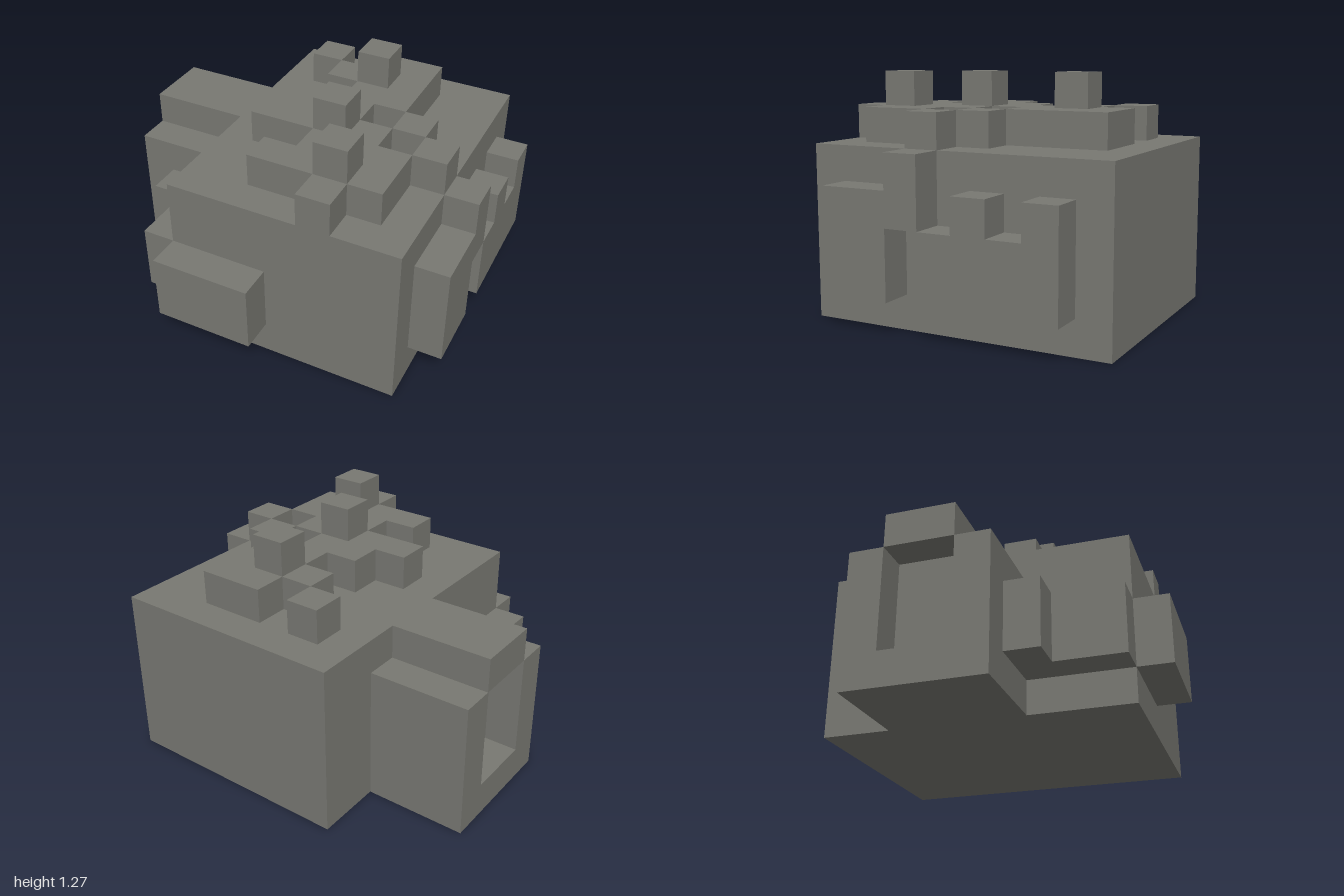
import * as THREE from 'three';

// Everything sits on a grid of cubes: 11 wide (x), 10 deep (z), 7 high (y)
const U = 2 / 11;

export function createModel() {
  const model = new THREE.Group();
  model.name = 'blockBoulder';
  const stone = new THREE.MeshStandardMaterial({ color: 0x787872 });
  stone.name = 'stone grey';

  // Box from grid corner (x, y, z) with a size in cells
  function block(name, x, y, z, w, h, d) {
    const mesh = new THREE.Mesh(new THREE.BoxGeometry(w * U, h * U, d * U), stone);
    mesh.position.set((x + w / 2 - 5.5) * U, (y + h / 2) * U, (z + d / 2 - 5) * U);
    mesh.name = name;
    model.add(mesh);
  }

  // Main mass
  block('body', 3, 0, 0, 7, 5, 9);
  block('frontSlab', 3, 1, 9, 3, 2, 1);

  // Side outcrop with a niche in its outer face
  block('outcropRearPillar', 0, 0, 2, 3, 4, 1);
  block('outcropFrontPillar', 0, 0, 5, 3, 4, 1);
  block('outcropSill', 0, 0, 3, 3, 1, 2);
  block('outcropCore', 1, 1, 3, 2, 3, 2);
  block('outcropCap', 0, 4, 3, 3, 1, 2);
  block('outcropStepWide', 1, 1, 6, 2, 2, 1);
  block('outcropStepNarrow', 2, 1, 7, 1, 2, 2);

  // Bumps on the opposite side
  block('sideSlabFront', 10, 1, 6, 1, 3, 2);
  block('sideSlabUpper', 10, 3, 5, 1, 2, 1);
  block('sideSlabRear', 10, 1, 1, 1, 2, 4);
  block('sideKnobMiddle', 10, 3, 3, 1, 1, 1);
  block('sideKnobRear', 10, 3, 1, 1, 1, 1);

  // Rubble layer on top: [x, z, width, depth]
  const rubble = [
    [4, 1, 1, 1], [6, 1, 2, 1], [5, 2, 3, 1], [6, 3, 2, 1],
    [5, 4, 2, 1], [8, 4, 1, 1], [4, 5, 4, 1], [9, 5, 1, 1],
    [6, 6, 3, 1], [5, 7, 4, 1], [7, 8, 1, 1],
  ];
  for (const [x, z, w, d] of rubble) block('topRubble', x, 5, z, w, 1, d);

  // Highest single cubes
  for (const [x, z] of [[6, 2], [6, 5], [7, 7]]) block('topPeak', x, 6, z, 1, 1, 1);

  return model;
}
